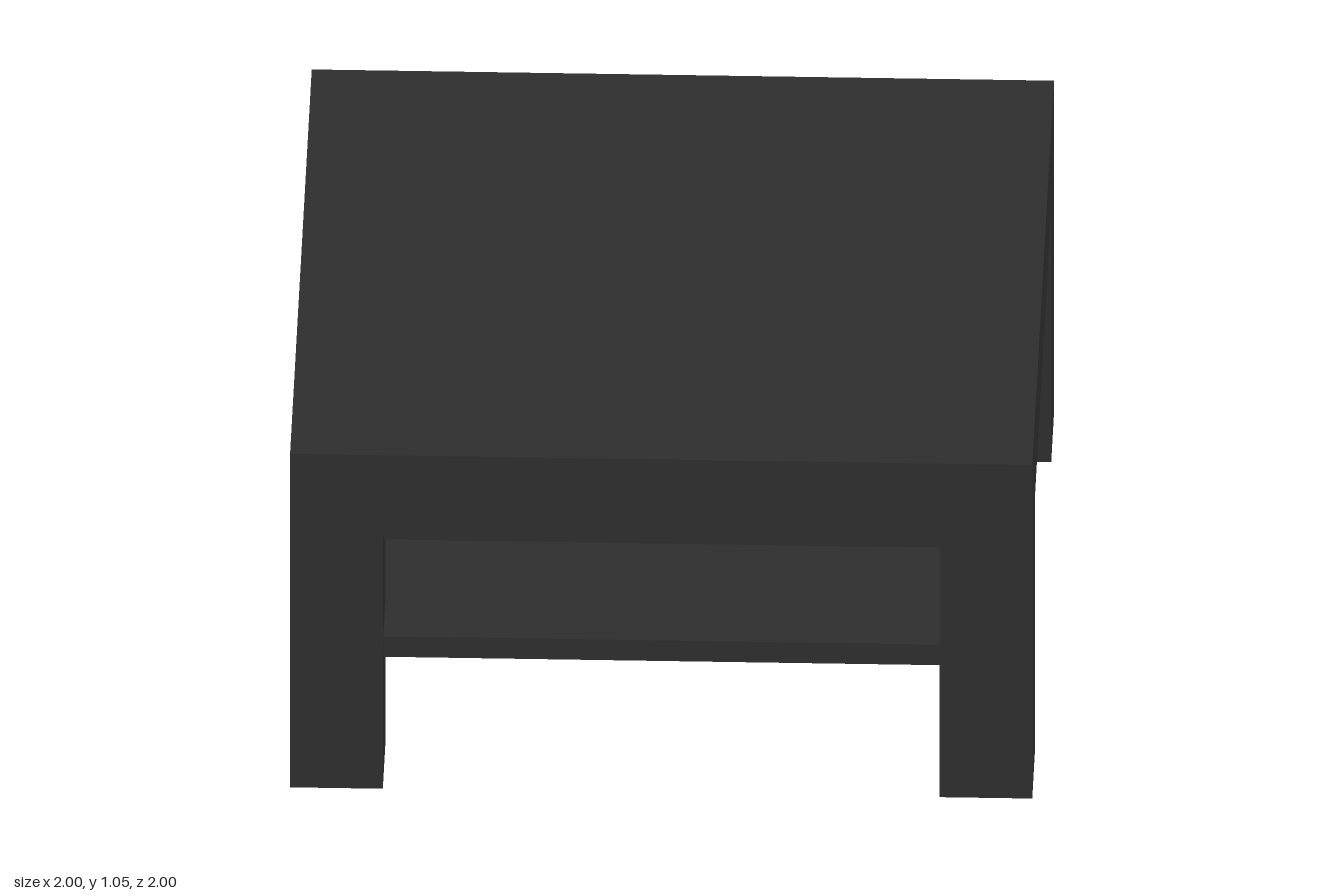
import * as THREE from 'three';

export function createModel() {
  const group = new THREE.Group();
  const charcoal = new THREE.MeshStandardMaterial({ color: 0x2e2e2e });
  charcoal.name = 'charcoal';

  // Square block of a given width, between two heights
  const addBlock = (name, width, bottom, top, x = 0, z = 0) => {
    const mesh = new THREE.Mesh(new THREE.BoxGeometry(width, top - bottom, width), charcoal);
    mesh.name = name;
    mesh.position.set(x, (bottom + top) / 2, z);
    group.add(mesh);
  };

  // Thick top with a recessed panel beneath it
  addBlock('tableTop', 2, 0.8, 1.05);
  addBlock('topUnderPanel', 1.9, 0.755, 0.8);

  // Lower shelf, stepped inward on its underside
  addBlock('shelf', 1.9, 0.4, 0.45);
  addBlock('shelfUnderPanel', 1.8, 0.355, 0.4);

  // Corner legs, flush with the top
  const legWidth = 0.25;
  const offset = 1 - legWidth / 2;
  for (const [side, x] of [['Left', offset], ['Right', -offset]]) {
    for (const [end, z] of [['front', offset], ['back', -offset]]) {
      addBlock(`${end}${side}Leg`, legWidth, 0, 0.8, x, z);
    }
  }

  return group;
}
